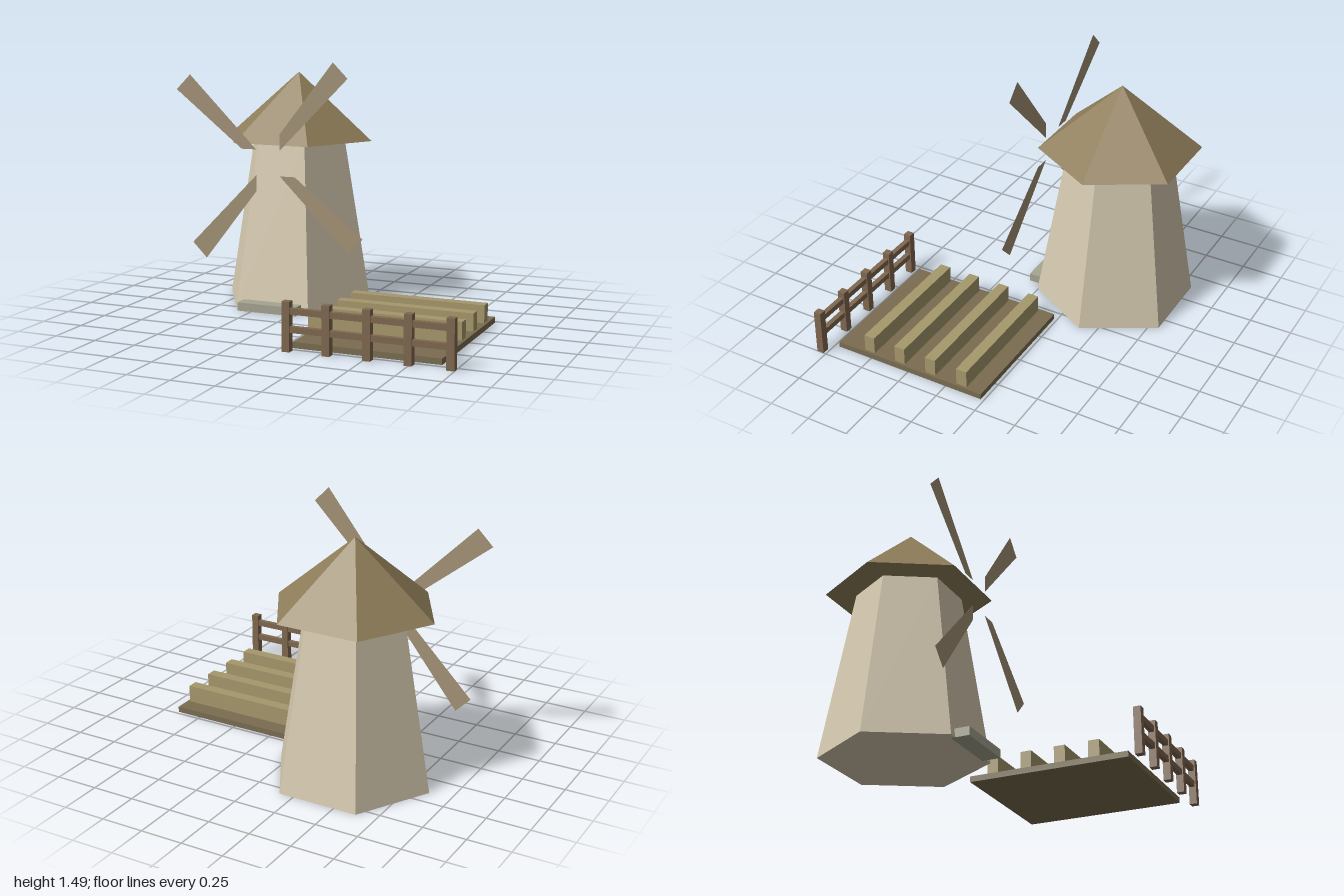
import * as THREE from 'three';

const paint = (color, side = THREE.FrontSide) =>
  new THREE.MeshStandardMaterial({ color, side, flatShading: true });

const plaster = paint(0xd6cab0);
const thatch = paint(0x8f7d59, THREE.DoubleSide);
const sailWood = paint(0xa39276, THREE.DoubleSide);
const stone = paint(0xa6a592);
const soil = paint(0x7a6c50);
const crop = paint(0xa6986c);
const fenceWood = paint(0x80684f);

function add(parent, name, geometry, material, x = 0, y = 0, z = 0) {
  const mesh = new THREE.Mesh(geometry, material);
  mesh.name = name;
  mesh.position.set(x, y, z);
  parent.add(mesh);
  return mesh;
}

// box given by its min and max corners
function box(parent, name, material, [x0, y0, z0], [x1, y1, z1]) {
  return add(parent, name, new THREE.BoxGeometry(x1 - x0, y1 - y0, z1 - z0), material,
    (x0 + x1) / 2, (y0 + y1) / 2, (z0 + z1) / 2);
}

function group(parent, name) {
  const g = new THREE.Group();
  g.name = name;
  parent.add(g);
  return g;
}

export function createModel() {
  const model = new THREE.Group();
  model.name = 'windmillFarm';

  // six-sided tower and open roof, corners on the x axis
  const mill = group(model, 'windmill');
  const H = 0.99, turn = Math.PI / 6;
  add(mill, 'tower', new THREE.CylinderGeometry(0.3, 0.47, H, 6, 1, false, turn),
    plaster, -0.4, H / 2, -0.4);
  add(mill, 'roof', new THREE.ConeGeometry(0.473, 0.4, 6, 1, true, turn),
    thatch, -0.4, H + 0.2, -0.4);
  box(mill, 'doorStep', stone, [-0.587, 0, -0.02], [-0.213, 0.05, 0.088]);

  // four flat sails around an open centre
  const sails = group(mill, 'sails');
  sails.position.set(-0.4, 0.89, 0.045);
  const sailShape = new THREE.Shape([[0.075, 0.075], [0.5, 0.505], [0.41, 0.595], [0.075, 0.17]]
    .map(([x, y]) => new THREE.Vector2(x, y)));
  const sailGeometry = new THREE.ShapeGeometry(sailShape);
  for (let i = 0; i < 4; i++) {
    add(sails, 'sail', sailGeometry, sailWood).rotation.z = i * Math.PI / 2;
  }

  // field with four raised crop rows
  const field = group(model, 'field');
  box(field, 'soilBed', soil, [0.06, 0, -0.23], [0.905, 0.034, 0.72]);
  for (let i = 0; i < 4; i++) {
    const z = -0.097 + i * 0.204;
    box(field, 'cropRow', crop, [0.076, 0.034, z - 0.033], [0.89, 0.137, z + 0.033]);
  }

  // fence along the front
  const fence = group(model, 'fence');
  for (let i = 0; i < 5; i++) {
    const x = 0.06 + i * 0.2293;
    box(fence, 'post', fenceWood, [x - 0.022, 0, 0.765], [x + 0.022, 0.274, 0.809]);
  }
  for (const y of [0.105, 0.205]) {
    box(fence, 'rail', fenceWood, [0.06, y, 0.772], [0.977, y + 0.034, 0.802]);
  }

  return model;
}
